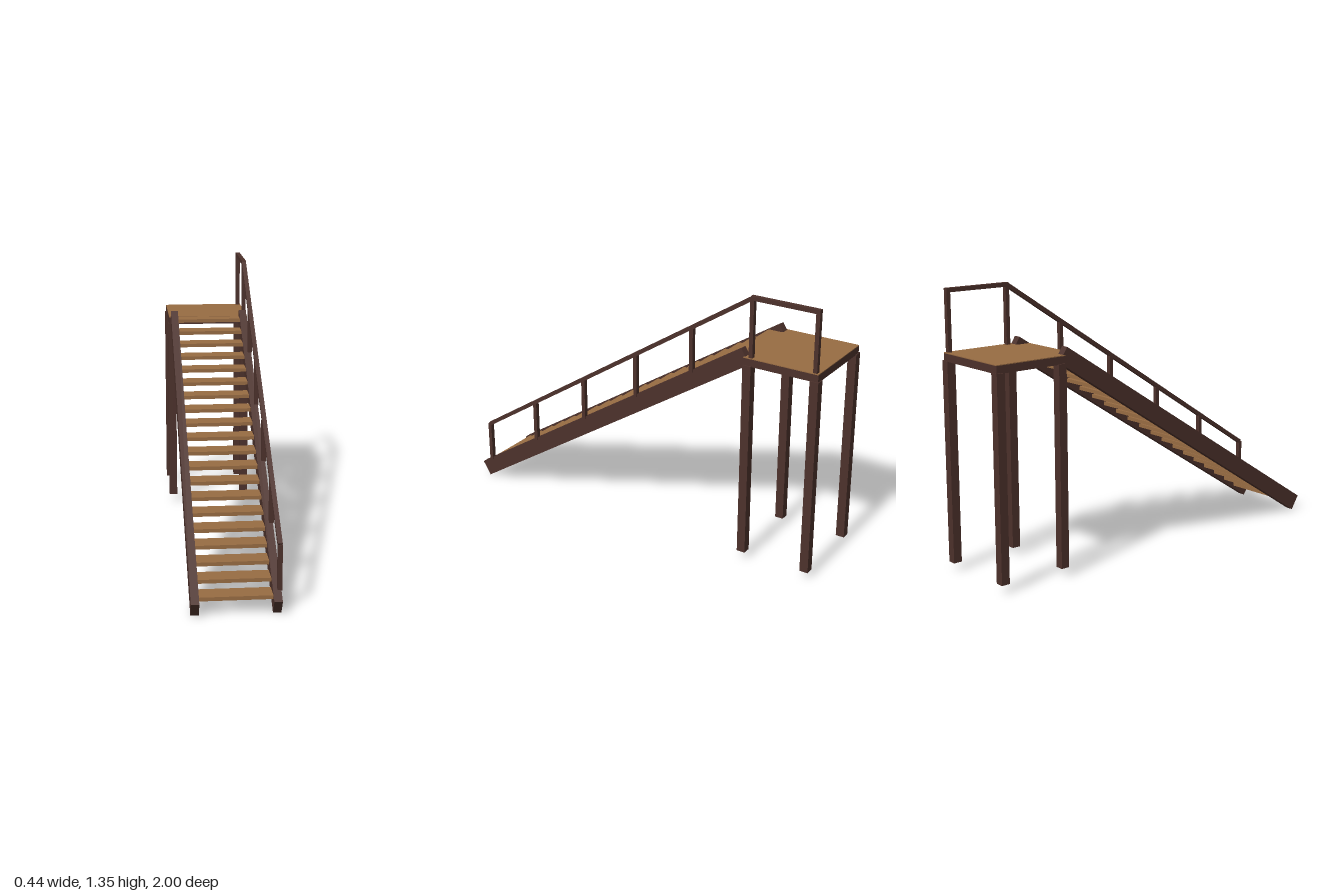
import * as THREE from 'three';

export function createModel() {
  const model = new THREE.Group();
  model.name = 'staircase';
  const darkWood = new THREE.MeshStandardMaterial({ color: 0x4c312b });
  darkWood.name = 'dark wood';
  const tanWood = new THREE.MeshStandardMaterial({ color: 0x986c43 });
  tanWood.name = 'tan wood';

  const addBox = (name, material, size, position) => {
    const mesh = new THREE.Mesh(new THREE.BoxGeometry(...size), material);
    mesh.name = name;
    mesh.position.set(...position);
    model.add(mesh);
    return mesh;
  };

  // Beam lying in a plane of constant x, between two [y, z] points
  const addBeam = (name, x, from, to, width, height) => {
    const dy = to[0] - from[0], dz = to[1] - from[1];
    const beam = addBox(name, darkWood, [width, height, Math.hypot(dy, dz)],
      [x, (from[0] + to[0]) / 2, (from[1] + to[1]) / 2]);
    beam.rotation.x = Math.atan2(dy, -dz);
    return beam;
  };

  // Sloping side beams with square-cut ends
  for (const side of [-1, 1]) {
    addBeam('stringer', side * 0.185, [0.035, 0.978], [1.055, -0.622], 0.038, 0.083);
  }

  // Open treads; the last one runs into the landing
  for (let i = 0; i < 20; i++) {
    addBox('tread', tanWood, [0.335, 0.018, 0.095],
      [0, 0.079 + i * 0.0508, 0.965 - i * 0.0793 - 0.0475]);
  }

  // Landing frame with a thin deck on top
  addBox('landingFrame', darkWood, [0.424, 0.037, 0.38], [0, 1.0325, -0.805]);
  addBox('landingDeck', tanWood, [0.424, 0.004, 0.38], [0, 1.053, -0.805]);

  // Landing legs
  for (const x of [-0.198, 0.198]) {
    for (const z of [-0.637, -0.978]) {
      addBox('landingLeg', darkWood, [0.042, 0.977, 0.043], [x, 0.5285, z]);
    }
  }

  // Handrail on the left side only: sloping run, then a level run
  const railX = 0.197, railSize = 0.022;
  const railStart = [0.315, 0.937], railBend = [1.342, -0.65], railEnd = [1.342, -0.986];
  addBeam('slopingHandrail', railX, railStart, railBend, railSize, 0.02);
  addBeam('levelHandrail', railX, [1.342, -0.642], railEnd, railSize, 0.02);

  // Balusters stand on the stringer, the last two on the landing
  const addBaluster = (z, bottom, top) =>
    addBox('baluster', darkWood, [railSize, top - bottom, 0.02], [railX, (bottom + top) / 2, z]);
  for (let i = 0; i < 5; i++) {
    const t = i / 5;
    const z = THREE.MathUtils.lerp(railStart[1], railBend[1], t);
    const top = THREE.MathUtils.lerp(railStart[0], railBend[0], t);
    addBaluster(z, 0.07 + (1 - z) * 0.6375 - 0.008, top);
  }
  addBaluster(-0.65, 1.05, 1.342);
  addBaluster(-0.976, 1.05, 1.342);

  return model;
}
